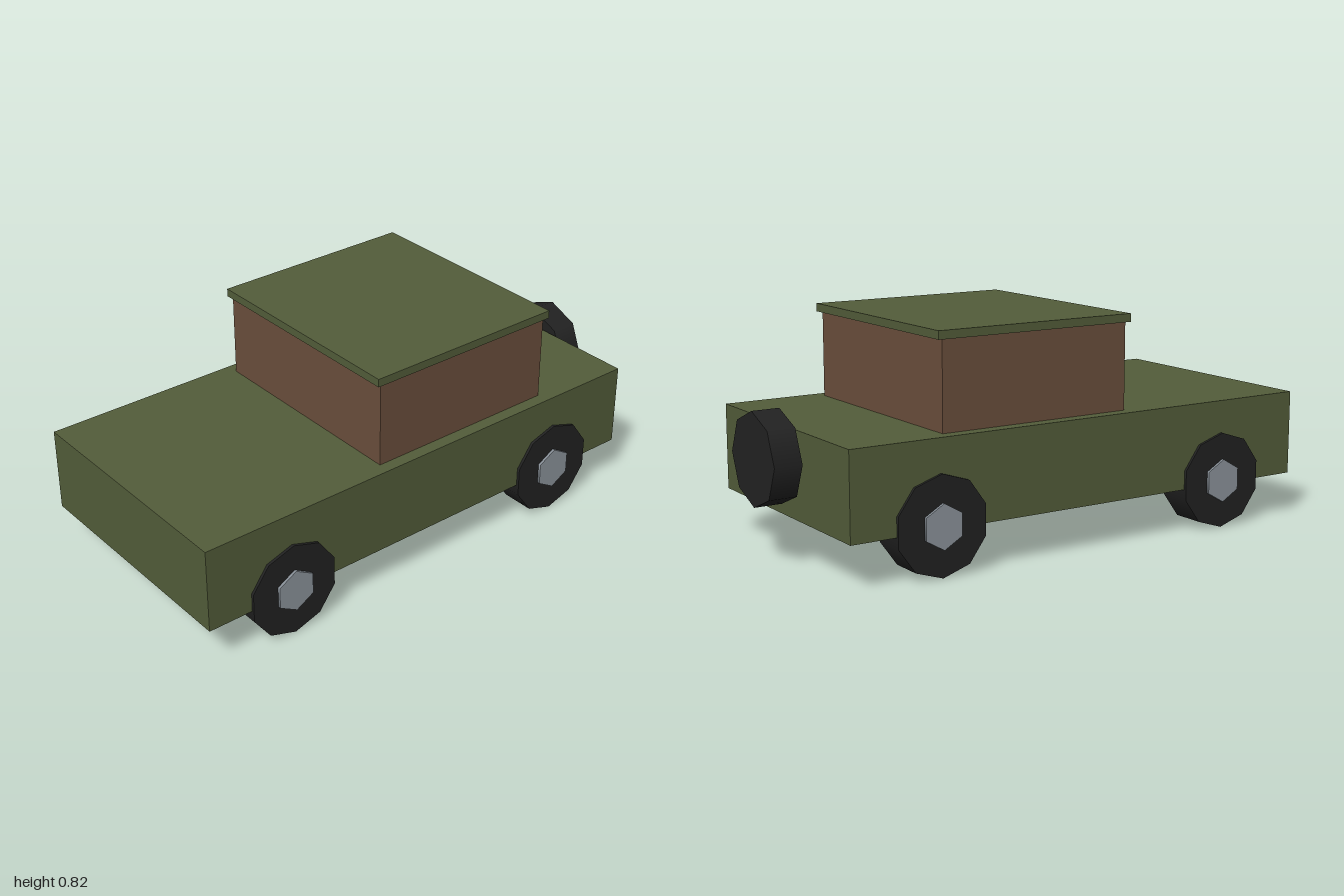
import * as THREE from 'three';

export function createModel() {
  const model = new THREE.Group();
  model.name = 'offRoadCar';

  const paint = (name, color) => {
    const m = new THREE.MeshStandardMaterial({ color });
    m.name = name;
    return m;
  };
  const olive = paint('olive', 0x535d3a);
  const brown = paint('brown', 0x6b4f3c);
  const rubber = paint('rubber', 0x222222);
  const steel = paint('steel', 0x8c949c);

  const add = (name, geometry, material, x, y, z, parent = model) => {
    const mesh = new THREE.Mesh(geometry, material);
    mesh.name = name;
    mesh.position.set(x, y, z);
    parent.add(mesh);
    return mesh;
  };

  // Body, cabin and overhanging roof
  add('body', new THREE.BoxGeometry(0.94, 0.314, 1.885), olive, 0, 0.32, 0.0575);
  add('cabin', new THREE.BoxGeometry(0.846, 0.316, 0.754), brown, 0, 0.635, -0.132);
  add('roof', new THREE.BoxGeometry(0.866, 0.03, 0.79), olive, 0, 0.808, -0.133);

  // Wheels: ten-sided tyre with a hexagonal hub through it
  const tyreGeometry = new THREE.CylinderGeometry(0.178, 0.178, 0.125, 10).rotateX(Math.PI / 2).rotateY(Math.PI / 2);
  const hubGeometry = new THREE.CylinderGeometry(0.08, 0.08, 0.145, 6).rotateX(Math.PI / 2).rotateY(Math.PI / 2);
  for (const [end, z] of [['front', 0.66], ['rear', -0.545]]) {
    for (const [side, x] of [['Left', 0.418], ['Right', -0.418]]) {
      const wheel = new THREE.Group();
      wheel.name = `${end}${side}Wheel`;
      wheel.position.set(x, 0.179, z);
      add('tyre', tyreGeometry, rubber, 0, 0, 0, wheel);
      add('hub', hubGeometry, steel, 0, 0, 0, wheel);
      model.add(wheel);
    }
  }

  // Eight-sided spare tyre behind the tail
  const spareGeometry = new THREE.CylinderGeometry(0.167, 0.167, 0.103, 8).rotateX(Math.PI / 2);
  add('spareTyre', spareGeometry, rubber, 0, 0.371, -0.9485);

  return model;
}
